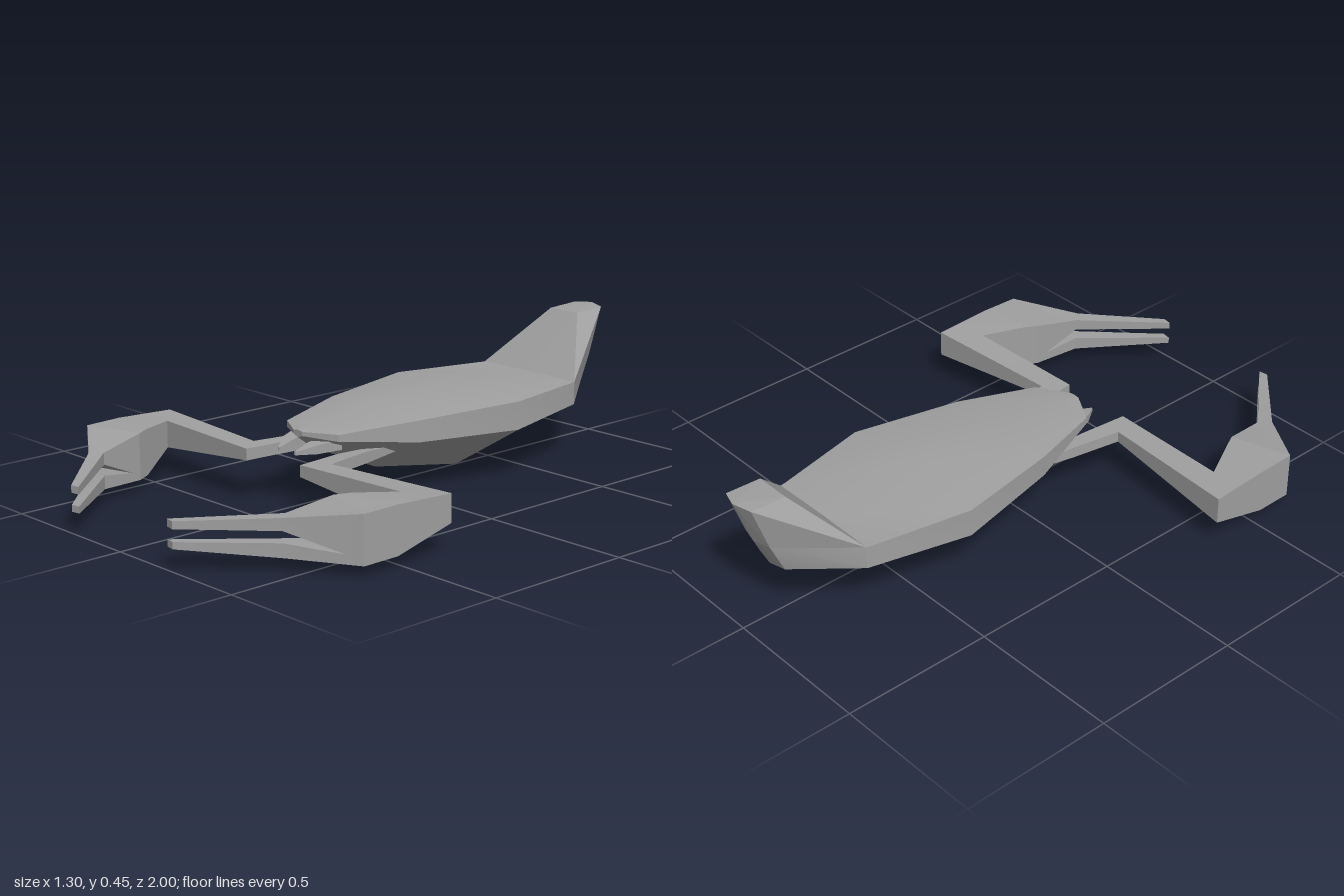
import * as THREE from 'three';
import { toCreasedNormals } from 'three/addons/utils/BufferGeometryUtils.js';
import { ConvexGeometry } from 'three/addons/geometries/ConvexGeometry.js';

// Skin a list of rings (equal point counts) and close both ends
function loft(rings) {
  const n = rings[0].length, last = (rings.length - 1) * n, index = [];
  for (let i = 0; i < rings.length - 1; i++) {
    for (let j = 0; j < n; j++) {
      const a = i * n + j, b = i * n + (j + 1) % n;
      index.push(a, b, b + n, a, b + n, a + n);
    }
  }
  for (let j = 1; j < n - 1; j++) {
    index.push(0, j + 1, j, last, last + j, last + j + 1);
  }
  const geo = new THREE.BufferGeometry();
  geo.setAttribute('position', new THREE.Float32BufferAttribute(rings.flat(2), 3));
  geo.setIndex(index);
  return toCreasedNormals(geo, 0.4);
}

// Limb section: outer x, z, inner x, z, low y, high y
const limbRing = ([ox, oz, ix, iz, lo, hi]) =>
  [[ox, lo, oz], [ox, hi, oz], [ix, hi, iz], [ix, lo, iz]];

// Mirror a ring across x = 0, keeping its faces outward
const mirrorRing = (ring) => ring.map(([x, y, z]) => [-x, y, z]).reverse();

export function createModel() {
  const model = new THREE.Group();
  const grey = new THREE.MeshStandardMaterial({ color: 0xa0a0a0 });
  grey.name = 'grey shell';

  const add = (name, geometry) => {
    const mesh = new THREE.Mesh(geometry, grey);
    mesh.name = name;
    model.add(mesh);
  };

  // Body, back to front: z, half width, ridge y, rim top y, rim bottom y, keel y
  const body = [
    [-0.69, 0.205, 0.258, 0.255, 0.18, 0.1],
    [-0.35, 0.275, 0.295, 0.26, 0.168, 0.0],
    [0.01, 0.205, 0.276, 0.25, 0.18, 0.06],
    [0.27, 0.12, 0.246, 0.234, 0.212, 0.17],
    [0.33, 0.02, 0.238, 0.235, 0.222, 0.215],
  ].map(([z, w, ridge, top, bottom, keel]) => [
    [0, ridge, z], [-w, top, z], [-w, bottom, z],
    [0, keel, z], [w, bottom, z], [w, top, z],
  ]);
  // Narrow rear end, slanted back up into the tail
  body.unshift([
    [0, 0.29, -0.94], [-0.06, 0.29, -0.925], [-0.06, 0.19, -0.88],
    [0, 0.185, -0.89], [0.06, 0.19, -0.88], [0.06, 0.29, -0.925],
  ]);
  add('body', loft(body));

  // Raised tail
  const tail = [[0, 0.45, -1], [0, 0.29, -0.94], [0, 0.258, -0.69]];
  for (const s of [1, -1]) {
    tail.push([s * 0.205, 0.255, -0.69], [s * 0.06, 0.29, -0.925],
      [s * 0.06, 0.445, -0.98], [s * 0.06, 0.44, -0.86]);
  }
  add('tail', new ConvexGeometry(tail.map((p) => new THREE.Vector3(...p))));

  // Arm, from under the body through the elbow to the palm
  const arm = [
    [0.12, 0.03, 0.095, 0.06, 0.14, 0.16],
    [0.15, 0.19, 0.108, 0.26, 0.135, 0.172],
    [0.18, 0.355, 0.125, 0.43, 0.135, 0.172],
    [0.65, 0.32, 0.54, 0.415, 0.09, 0.178],
    [0.648, 0.525, 0.475, 0.545, 0.037, 0.187],
    [0.645, 0.65, 0.452, 0.59, 0.035, 0.185],
  ].map(limbRing);

  // Two fingers of the claw
  const upperFinger = [
    [0.645, 0.65, 0.452, 0.59, 0.05, 0.185],
    [0.455, 0.78, 0.425, 0.745, 0.12, 0.158],
    [0.24, 0.995, 0.21, 0.99, 0.122, 0.145],
  ].map(limbRing);
  const lowerFinger = [
    [0.645, 0.65, 0.452, 0.59, 0.035, 0.06],
    [0.455, 0.78, 0.425, 0.745, 0.042, 0.085],
    [0.24, 0.995, 0.21, 0.99, 0.064, 0.085],
  ].map(limbRing);

  // Small fangs below the nose
  const fang = [
    [0.1, 0.24, 0.04, 0.24, 0.178, 0.215],
    [0.078, 0.32, 0.03, 0.315, 0.175, 0.202],
    [0.04, 0.375, 0.034, 0.375, 0.174, 0.184],
  ].map(limbRing);

  const limbs = { Arm: arm, UpperFinger: upperFinger, LowerFinger: lowerFinger, Fang: fang };
  for (const [name, rings] of Object.entries(limbs)) {
    add('left' + name, loft(rings));
    add('right' + name, loft(rings.map(mirrorRing)));
  }
  return model;
}
